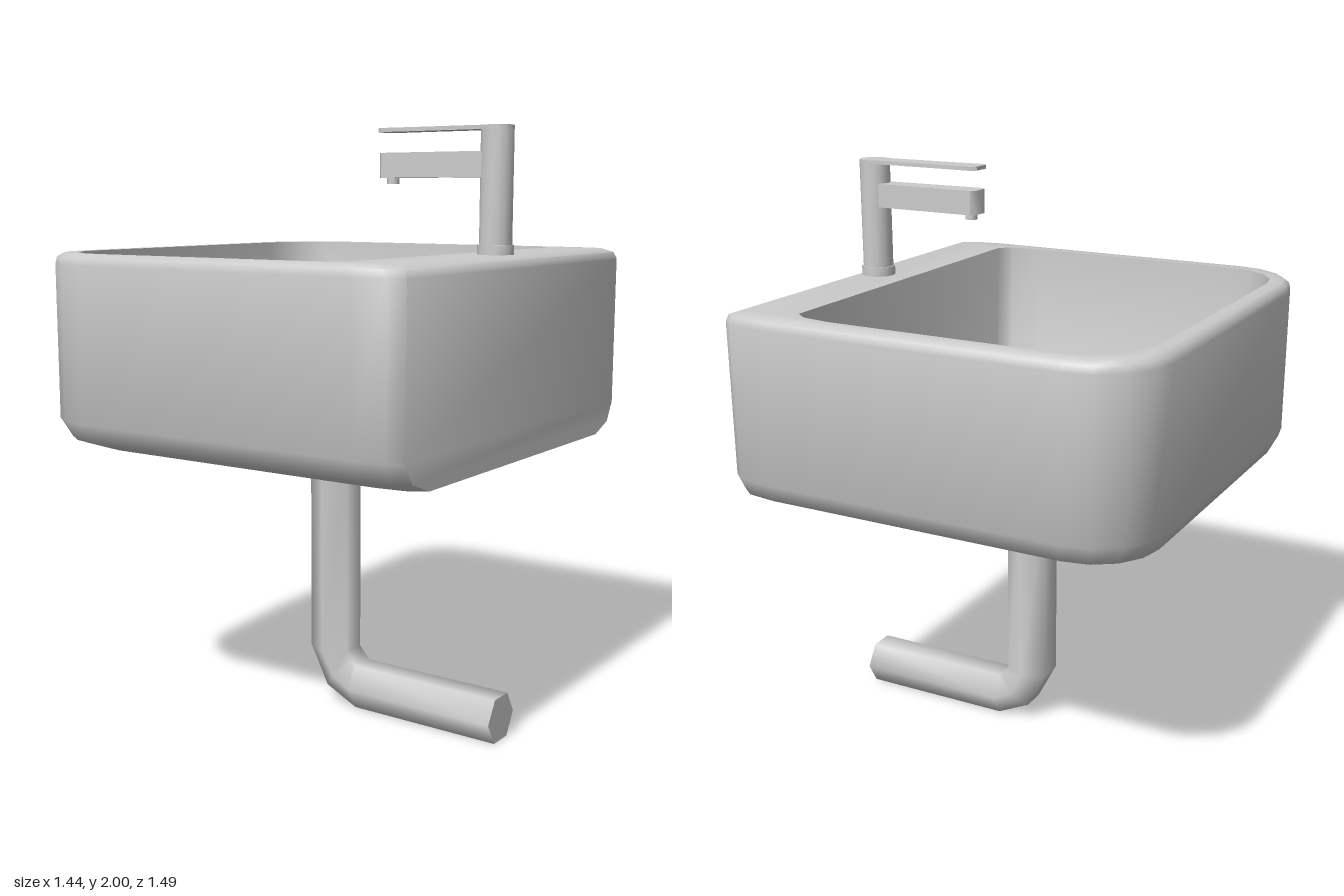
import * as THREE from 'three';
import { toCreasedNormals } from 'three/addons/utils/BufferGeometryUtils.js';

const material = new THREE.MeshStandardMaterial({ color: 0xcccccc });

// Skin a list of equal-length point rings and close both ends
function loft(rings, crease) {
  const n = rings[0].length;
  const pos = [];
  const tri = (...pts) => pts.forEach((p) => pos.push(p.x, p.y, p.z));
  const cap = (ring, flip) => {
    const c = ring.reduce((s, p) => s.add(p), new THREE.Vector3()).divideScalar(n);
    ring.forEach((p, j) => {
      const q = ring[(j + 1) % n];
      if (flip) tri(c, q, p); else tri(c, p, q);
    });
  };
  cap(rings[0], true);
  for (let i = 0; i < rings.length - 1; i++) {
    for (let j = 0; j < n; j++) {
      const k = (j + 1) % n;
      const [a, b, c, d] = [rings[i][j], rings[i][k], rings[i + 1][k], rings[i + 1][j]];
      tri(a, b, c);
      tri(a, c, d);
    }
  }
  cap(rings[rings.length - 1], false);
  const g = new THREE.BufferGeometry();
  g.setAttribute('position', new THREE.Float32BufferAttribute(pos, 3));
  return toCreasedNormals(g, crease);
}

// Horizontal outline: round corners of radius r at -x, shallow corners at +x
function outline(y, xMin, xMax, halfZ, r) {
  const pts = [];
  for (let corner = 0; corner < 4; corner++) {
    const right = corner === 0 || corner === 3;
    const sz = corner < 2 ? -1 : 1;
    const [ax, az, steps] = right ? [0.15, 0.048, 2] : [r, r, 4];
    const cx = right ? xMax - ax : xMin + ax;
    const cz = sz * (halfZ - az);
    for (let i = 0; i <= steps; i++) {
      const a = (corner + i / steps) * Math.PI / 2;
      pts.push(new THREE.Vector3(cx + ax * Math.cos(a), y, cz - az * Math.sin(a)));
    }
  }
  return pts;
}

// Hexagonal pipe section, square to the travel angle in the xy plane
function hexRing(x, y, angle, radius) {
  const pts = [];
  for (let i = 0; i < 6; i++) {
    const a = Math.PI / 6 + i * Math.PI / 3;
    const u = radius * Math.cos(a);
    pts.push(new THREE.Vector3(x + Math.sin(angle) * u, y - Math.cos(angle) * u, -radius * Math.sin(a)));
  }
  return pts;
}

// Plan shape given as (x, z), extruded upward from y
function slab(points, y, height) {
  const shape = new THREE.Shape(points.map(([x, z]) => new THREE.Vector2(x, -z)));
  const g = new THREE.ExtrudeGeometry(shape, { depth: height, bevelEnabled: false });
  return toCreasedNormals(g.rotateX(-Math.PI / 2).translate(0, y, 0), 0.8);
}

export function createModel() {
  const model = new THREE.Group();
  const add = (name, geometry, parent = model) => {
    const mesh = new THREE.Mesh(geometry, material);
    mesh.name = name;
    parent.add(mesh);
  };
  const cylinder = (x, y0, y1, r, sides) => toCreasedNormals(
    new THREE.CylinderGeometry(r, r, y1 - y0, sides).translate(x, (y0 + y1) / 2, 0), 0.9);

  // Basin: up the outer wall, over the rim and down into the bowl
  add('basin', loft([
    outline(0.955, -0.61, 0.718, 0.615, 0.17),
    outline(0.99, -0.687, 0.718, 0.71, 0.215),
    outline(1.055, -0.72, 0.718, 0.747, 0.24),
    outline(1.565, -0.72, 0.718, 0.747, 0.24),
    outline(1.588, -0.714, 0.708, 0.742, 0.235),
    outline(1.601, -0.695, 0.67, 0.725, 0.225),
    outline(1.601, -0.655, 0.48, 0.683, 0.205),
    outline(1.11, -0.642, 0.482, 0.67, 0.2),
    outline(1.04, -0.61, 0.484, 0.64, 0.19),
    outline(1.002, -0.54, 0.485, 0.57, 0.17),
    outline(1.0, -0.45, 0.45, 0.5, 0.15),
  ], 0.95));

  // Drain: collar and bent hexagonal pipe
  const drain = new THREE.Group();
  drain.name = 'drain';
  model.add(drain);
  const up = Math.PI / 2;
  add('drainCollar', loft([
    hexRing(0, 0.832, up, 0.108),
    hexRing(0, 0.965, up, 0.108),
  ], 1.1), drain);
  add('drainPipe', loft([
    hexRing(0.664, 0.076, Math.PI, 0.087),
    hexRing(0.113, 0.08, Math.PI, 0.087),
    hexRing(0.046, 0.117, Math.PI * 0.75, 0.087),
    hexRing(-0.002, 0.2, up, 0.087),
    hexRing(-0.002, 0.9, up, 0.087),
  ], 1.3), drain);

  // Tap: column on a base ring, spout with nozzle, thin lever on top
  const tap = new THREE.Group();
  tap.name = 'tap';
  model.add(tap);
  const cx = 0.61;
  add('tapBase', cylinder(cx, 1.598, 1.632, 0.058, 12), tap);
  add('tapColumn', cylinder(cx, 1.63, 1.998, 0.052, 12), tap);
  add('tapSpout', slab([
    [0.193, -0.028], [0.208, -0.043], [0.59, -0.036],
    [0.59, 0.036], [0.208, 0.043], [0.193, 0.028],
  ], 1.841, 0.08), tap);
  add('tapNozzle', cylinder(0.228, 1.822, 1.846, 0.021, 10), tap);

  const lever = [[0.208, 0.046], [0.188, 0.03], [0.188, -0.03], [0.208, -0.046], [0.3, -0.041], [0.57, -0.038]];
  for (let i = 0; i <= 8; i++) {
    const a = (-0.65 + 1.3 * i / 8) * Math.PI;
    lever.push([cx + 0.052 * Math.cos(a), 0.052 * Math.sin(a)]);
  }
  lever.push([0.57, 0.038], [0.3, 0.041]);
  add('tapLever', slab(lever, 1.987, 0.013), tap);

  return model;
}
